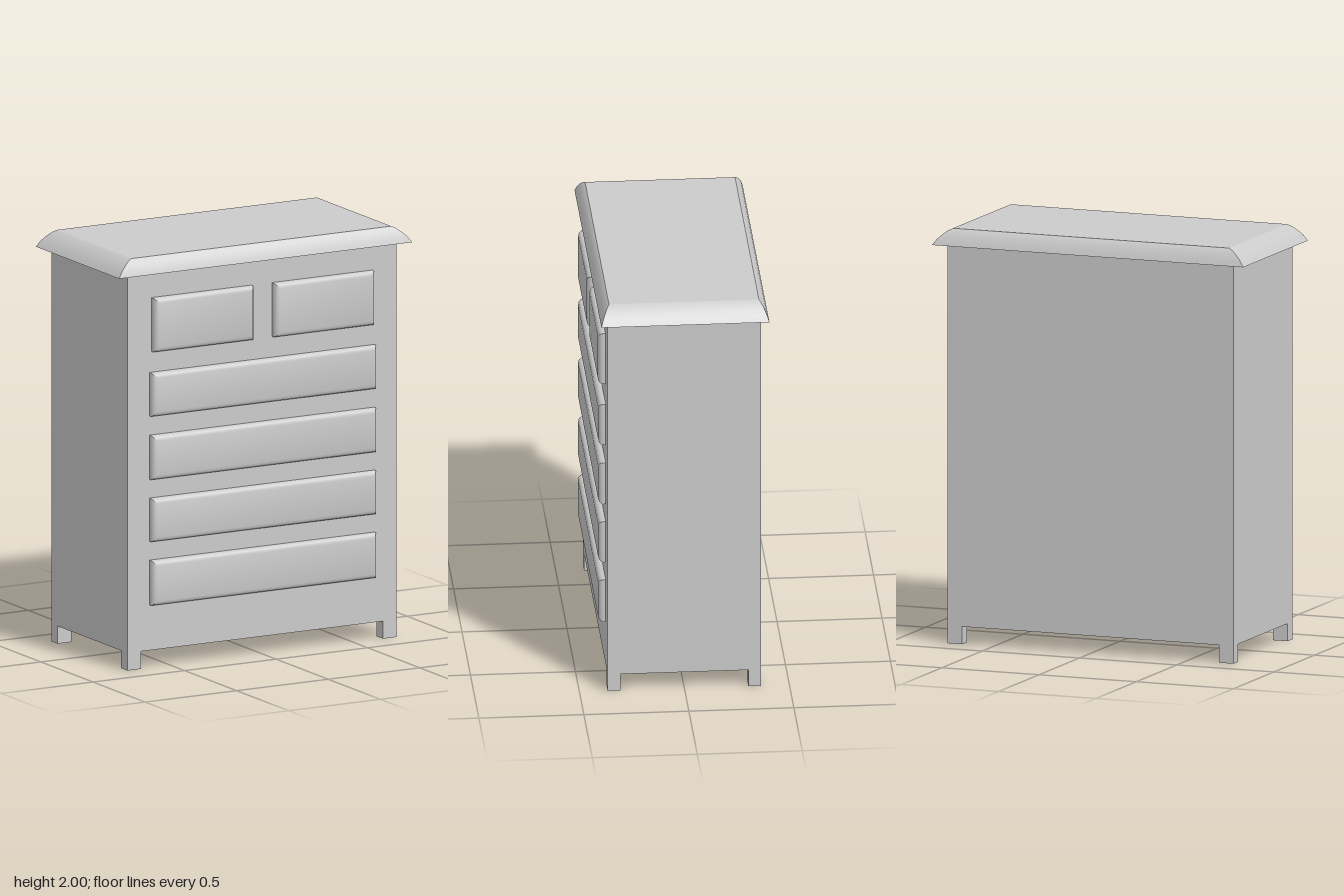
import * as THREE from 'three';
import { toCreasedNormals } from 'three/addons/utils/BufferGeometryUtils.js';

const material = new THREE.MeshStandardMaterial({ color: 0xcccccc });

// Closed stack of rectangles along +z; each ring is [halfWidth, halfHeight, z]
function rectLoft(rings, crease) {
  const pos = [];
  const index = [];
  for (const [w, h, z] of rings) pos.push(-w, -h, z, w, -h, z, w, h, z, -w, h, z);
  for (let i = 0; i < rings.length - 1; i++) {
    for (let j = 0; j < 4; j++) {
      const a = i * 4 + j;
      const b = i * 4 + ((j + 1) % 4);
      index.push(a, b, b + 4, a, b + 4, a + 4);
    }
  }
  const e = (rings.length - 1) * 4;
  index.push(e, e + 1, e + 2, e, e + 2, e + 3, 0, 2, 1, 0, 3, 2);
  const g = new THREE.BufferGeometry();
  g.setAttribute('position', new THREE.Float32BufferAttribute(pos, 3));
  g.setIndex(index);
  return toCreasedNormals(g, crease);
}

export function createModel() {
  const group = new THREE.Group();
  const add = (name, geometry, x, y, z) => {
    const mesh = new THREE.Mesh(geometry, material);
    mesh.name = name;
    mesh.position.set(x, y, z);
    group.add(mesh);
  };

  // Carcass
  const W = 0.735, D = 0.365, base = 0.085, top = 1.92;
  add('carcass', new THREE.BoxGeometry(W * 2, top - base, D * 2), 0, (top + base) / 2, 0);

  // Four short feet flush with the corners
  const fw = 0.075, fd = 0.06;
  for (const sx of [-1, 1]) {
    for (const sz of [-1, 1]) {
      add('foot', new THREE.BoxGeometry(fw, base, fd), sx * (W - fw / 2), base / 2, sz * (D - fd / 2));
    }
  }

  // Overhanging top with a rounded, mitred edge
  const topRings = [[0, 0], [0.22, 0.35], [0.5, 0.65], [0.77, 0.88], [1, 1]]
    .map(([inset, rise]) => [0.8 - 0.09 * inset, 0.4 - 0.043 * inset, 0.08 * rise]);
  add('top', rectLoft(topRings, 0.4).rotateX(-Math.PI / 2), 0, top, 0);

  // Drawer fronts with softened edges: [left, right, bottom, top]
  const drawers = [
    [-0.603, -0.057, 1.537, 1.8],
    [0.055, 0.602, 1.537, 1.8],
    [-0.615, 0.613, 1.225, 1.437],
    [-0.615, 0.613, 0.917, 1.132],
    [-0.615, 0.613, 0.615, 0.826],
    [-0.615, 0.613, 0.305, 0.524],
  ];
  const edge = [[0, 0], [0, 0.014], [0.004, 0.023], [0.011, 0.031], [0.024, 0.035]];
  for (const [l, r, b, t] of drawers) {
    const rings = edge.map(([inset, z]) => [(r - l) / 2 - inset, (t - b) / 2 - inset, z]);
    add('drawerFront', rectLoft(rings, 0.7), (l + r) / 2, (b + t) / 2, D);
  }
  return group;
}
